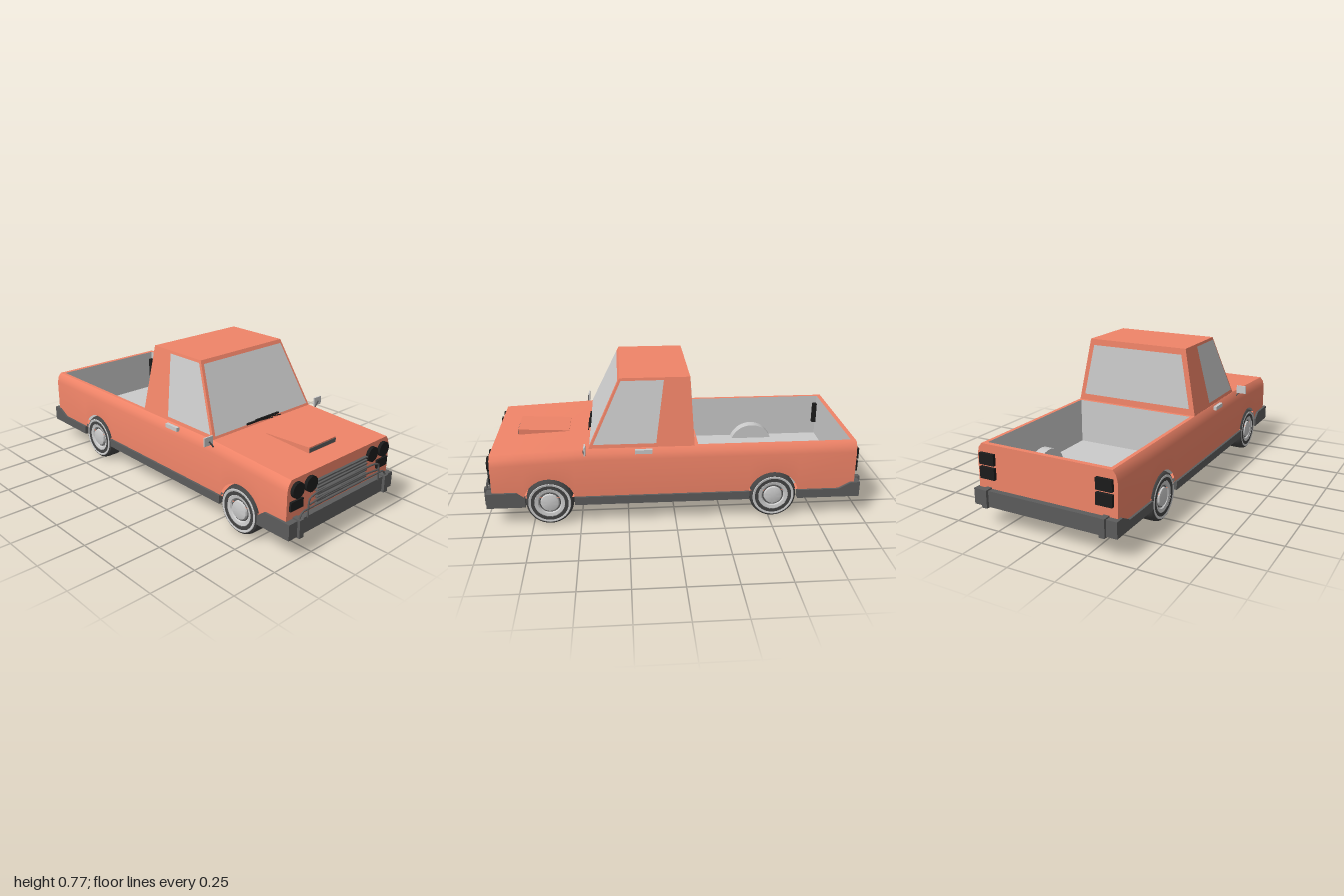
import * as THREE from 'three';
import { toCreasedNormals } from 'three/addons/utils/BufferGeometryUtils.js';

const mat = (color, side = THREE.FrontSide) => new THREE.MeshStandardMaterial({ color, side });

export function createModel() {
  const truck = new THREE.Group();
  truck.name = 'pickupTruck';
  const paint = mat(0xf08468, THREE.DoubleSide);
  const grey = mat(0xcccccc, THREE.DoubleSide);
  const trim = mat(0x5c5c5c);
  const black = mat(0x1c1c1c);
  const rubber = mat(0x444444);
  const khaki = mat(0x8a8560);

  const add = (name, geometry, material, parent = truck) => {
    const m = new THREE.Mesh(geometry, material);
    m.name = name;
    parent.add(m);
    return m;
  };
  const box = (name, material, x0, x1, y0, y1, z0, z1) => {
    const m = add(name, new THREE.BoxGeometry(Math.abs(x1 - x0), y1 - y0, z1 - z0), material);
    m.position.set((x0 + x1) / 2, (y0 + y1) / 2, (z0 + z1) / 2);
    return m;
  };
  // Surface through rows of points
  const grid = (rows) => {
    const n = rows[0].length, index = [];
    for (let i = 0; i < rows.length - 1; i++) {
      for (let j = 0; j < n - 1; j++) {
        const a = i * n + j, b = a + n;
        index.push(a, b, a + 1, b, b + 1, a + 1);
      }
    }
    const g = new THREE.BufferGeometry();
    g.setAttribute('position', new THREE.Float32BufferAttribute(rows.flat(2), 3));
    g.setIndex(index);
    return toCreasedNormals(g, 0.6);
  };
  const quad = (name, material, a, b, c, d) => add(name, grid([[a, b], [d, c]]), material);
  const polygon = (pts) => new THREE.Shape(pts.map((p) => new THREE.Vector2(...p)));
  const tube = (name, pts, r, material, segments = 40) => add(name, new THREE.TubeGeometry(
    new THREE.CatmullRomCurve3(pts.map((p) => new THREE.Vector3(...p)), false, 'catmullrom', 0.2),
    segments, r, 6), material);

  // Body sides: shoulder on top, wheel arches cut into the lower edge
  const axles = [0.66, -0.52], archR = 0.135, sill = 0.155;
  const topAt = (z) => (z > 0.45 ? 0.415 - (z - 0.45) * 0.05 : 0.415);
  const lowAt = (z) => axles.reduce((y, c) => {
    const d = archR ** 2 - (z - c) ** 2;
    return d > 0 ? Math.max(y, 0.125 + Math.sqrt(d)) : y;
  }, sill);
  const zs = [-0.955, -0.1, 0.45, 0.955];
  for (const c of axles) for (let i = 0; i <= 16; i++) zs.push(c - 0.1317 * Math.cos((i / 16) * Math.PI));
  zs.sort((a, b) => a - b);
  const section = (z) => {
    const t = topAt(z);
    return [[0.385, lowAt(z)], [0.385, t - 0.055], [0.377, t - 0.022], [0.36, t]];
  };
  for (const s of [1, -1]) {
    add('bodySide', grid(zs.map((z) => section(z).map(([x, y]) => [s * x, y, z]))), paint);
  }
  for (const z of [0.955, -0.955]) {
    const half = section(z);
    const face = polygon([...half, ...half.map(([x, y]) => [-x, y]).reverse()]);
    add(z > 0 ? 'frontPanel' : 'tailgate', new THREE.ShapeGeometry(face), paint).position.z = z;
  }
  add('hood', grid([0.955, 0.45, -0.1].map((z) => [-0.36, 0, 0.36].map((x) => [x, topAt(z), z]))), paint);
  quad('underside', paint, [-0.385, sill, 0.955], [0.385, sill, 0.955], [0.385, sill, -0.955], [-0.385, sill, -0.955]);
  for (const s of [1, -1]) box('floorPanel', khaki, s * 0.01, s * 0.33, 0.15, 0.156, -0.08, 0.2);
  box('floorStrip', khaki, -0.35, 0.35, 0.15, 0.156, 0.37, 0.385);

  // Load bed: rim, lining and wheel humps
  const rim = polygon([[-0.36, 0.1], [0.36, 0.1], [0.36, 0.955], [-0.36, 0.955]]);
  rim.holes.push(polygon([[-0.34, 0.12], [-0.34, 0.93], [0.34, 0.93], [0.34, 0.12]]));
  const rimMesh = add('bedRim', new THREE.ShapeGeometry(rim), paint);
  rimMesh.rotation.x = -Math.PI / 2;
  rimMesh.position.y = 0.415;
  const bed = [[-0.34, -0.12], [0.34, -0.12], [0.34, -0.93], [-0.34, -0.93]];
  bed.forEach(([x, z], i) => {
    const [u, w] = bed[(i + 1) % 4];
    quad('bedWall', grey, [x, 0.17, z], [u, 0.17, w], [u, 0.415, w], [x, 0.415, z]);
  });
  quad('bedFloor', grey, ...bed.map(([x, z]) => [x, 0.17, z]));
  for (const s of [1, -1]) {
    const hump = add('wheelHump', new THREE.CylinderGeometry(0.128, 0.128, 0.055, 32, 1, false, 0, Math.PI), grey);
    hump.rotation.z = Math.PI / 2;
    hump.position.set(s * 0.3125, 0.125, axles[1]);
    box('bedCornerBlock', black, s * 0.316, s * 0.339, 0.25, 0.37, -0.929, -0.905);
  }

  // Cab: a box drawn in towards the roof
  const cabX = (y) => 0.36 - (y - 0.41) * 0.194;
  const cabFront = (y) => 0.45 - (y - 0.41) * 0.472;
  const cabBack = (y) => -0.1 + (y - 0.41) * 0.056;
  const cab = new THREE.BoxGeometry(2, 1, 2);
  const p = cab.attributes.position;
  for (let i = 0; i < p.count; i++) {
    const y = p.getY(i) > 0 ? 0.768 : 0.41;
    p.setXYZ(i, p.getX(i) * cabX(y), y, p.getZ(i) > 0 ? cabFront(y) : cabBack(y));
  }
  cab.computeVertexNormals();
  add('cab', cab, paint);

  // Windows, lying just proud of the cab faces
  const e = 0.003;
  const pane = (name, y0, y1, x0, x1, zAt) => quad(name, grey,
    [-x0, y0, zAt(y0)], [x0, y0, zAt(y0)], [x1, y1, zAt(y1)], [-x1, y1, zAt(y1)]);
  pane('windshield', 0.428, 0.75, 0.342, 0.28, (y) => cabFront(y) + e);
  pane('rearWindow', 0.45, 0.735, 0.325, 0.268, (y) => cabBack(y) - e);
  for (const s of [1, -1]) {
    const at = (y, z) => [s * (cabX(y) + e), y, z];
    quad('sideWindow', grey, at(0.435, 0.425), at(0.435, 0.1), at(0.755, 0.055), at(0.755, 0.275));
  }

  // Hood scoop with dark intake
  const scoop = new THREE.ExtrudeGeometry(polygon([[0.56, 0.405], [0.835, 0.39], [0.835, 0.426], [0.56, 0.413]]),
    { depth: 0.2, bevelEnabled: false });
  scoop.rotateY(-Math.PI / 2);
  add('hoodScoop', scoop, paint).position.x = 0.1;
  box('scoopIntake', trim, -0.098, 0.098, 0.4, 0.42, 0.83, 0.838);

  // Wipers
  for (const [x0, x1, y] of [[-0.125, 0.05, 0.432], [-0.06, 0.11, 0.436]]) {
    box('wiperBlade', black, x0, x1, y - 0.004, y + 0.004, 0.442, 0.452);
    tube('wiperArm', [[x1 + 0.012, 0.424, 0.455], [(x0 + x1) / 2, y, 0.453]], 0.003, black, 2);
  }

  // Lamps, grille, mirrors and handles
  for (const s of [1, -1]) {
    for (const x of [0.325, 0.233]) {
      const lamp = add('headlight', new THREE.CylinderGeometry(0.039, 0.039, 0.03, 32), black);
      lamp.rotation.x = Math.PI / 2;
      lamp.position.set(s * x, 0.333, 0.957);
    }
    box('indicator', black, s * 0.283, s * 0.368, 0.236, 0.282, 0.94, 0.966);
    box('tailLight', black, s * 0.28, s * 0.365, 0.315, 0.372, -0.972, -0.95);
    box('tailLight', black, s * 0.28, s * 0.365, 0.243, 0.302, -0.972, -0.95);
    box('doorHandle', grey, s * 0.375, s * 0.393, 0.392, 0.413, 0.12, 0.21);
    box('mirror', grey, s * 0.38, s * 0.436, 0.408, 0.453, 0.462, 0.47);
    tube('mirrorArm', [[s * 0.37, 0.385, 0.46], [s * 0.385, 0.4, 0.472], [s * 0.41, 0.432, 0.472]], 0.004, trim, 8);
  }
  for (let i = 0; i < 8; i++) {
    const y = 0.212 + i * 0.0172;
    box('grilleSlat', trim, -0.19, 0.19, y - 0.004, y + 0.004, 0.95, 0.97);
  }

  // Bumpers wrapping the corners, sills and uprights
  const wraps = [
    [[0.985, 0.108], [0.985, 0.19], [0.83, 0.19], [0.785, 0.155], [0.785, 0.108]],
    [[-0.985, 0.108], [-0.985, 0.19], [-0.935, 0.19], [-0.87, 0.155], [-0.65, 0.155], [-0.65, 0.108]],
  ];
  for (const s of [1, -1]) {
    for (const w of wraps) {
      const g = new THREE.ExtrudeGeometry(polygon(w), { depth: 0.035, bevelEnabled: false });
      g.rotateY(-Math.PI / 2);
      add('bumperCorner', g, trim).position.x = s > 0 ? 0.397 : -0.362;
    }
    box('sill', trim, s * 0.362, s * 0.397, 0.112, 0.156, -0.39, 0.53);
    box('frontUpright', trim, s * 0.312, s * 0.341, 0.104, 0.197, 0.94, 1);
    box('rearUpright', trim, s * 0.312, s * 0.341, 0.104, 0.197, -1, -0.94);
  }
  box('frontBumper', trim, -0.397, 0.397, 0.108, 0.19, 0.94, 0.985);
  box('rearBumper', trim, -0.397, 0.397, 0.108, 0.19, -0.985, -0.94);

  // Grille guard of bent tubes
  for (const [x, y, inset] of [[0.33, 0.226, 0.03], [0.272, 0.288, 0.05]]) {
    const half = [[x, 0.185], [x - 0.006, y - 0.015], [x - inset, y], [0.15, y + 0.002]];
    const pts = [...half.map(([a, b]) => [-a, b, 0.985]), ...half.reverse().map(([a, b]) => [a, b, 0.985])];
    tube('grilleGuard', pts, 0.005, trim);
  }
  tube('grilleGuard', [[-0.264, 0.246, 0.985], [-0.15, 0.256, 0.985], [0.15, 0.256, 0.985], [0.264, 0.246, 0.985]], 0.005, trim);

  // Wheels: tyre with stepped rim and hub cap
  const lathe = (pts) => toCreasedNormals(
    new THREE.LatheGeometry(pts.map((q) => new THREE.Vector2(...q)), 40), 0.5);
  const tyre = lathe([[0, -0.05], [0.105, -0.05], [0.12, -0.043], [0.125, -0.03], [0.125, 0.03],
    [0.12, 0.045], [0.112, 0.052], [0.08, 0.052]]);
  const rimGeo = lathe([[0.114, 0.05], [0.108, 0.054], [0.098, 0.052], [0.092, 0.042], [0.084, 0.042],
    [0.078, 0.05], [0.062, 0.047], [0.056, 0.038], [0.05, 0.038], [0.046, 0.05], [0.03, 0.054], [0, 0.055]]);
  for (const z of axles) {
    for (const s of [1, -1]) {
      const wheel = new THREE.Group();
      wheel.name = 'wheel';
      add('tyre', tyre, rubber, wheel);
      add('rim', rimGeo, grey, wheel);
      for (const [r, y] of [[0.088, 0.043], [0.053, 0.039]]) {
        const ring = add('rimGroove', new THREE.TorusGeometry(r, 0.004, 6, 40), trim, wheel);
        ring.rotation.x = Math.PI / 2;
        ring.position.y = y;
      }
      wheel.rotation.z = -s * Math.PI / 2;
      wheel.position.set(s * 0.338, 0.125, z);
      truck.add(wheel);
    }
  }
  return truck;
}
